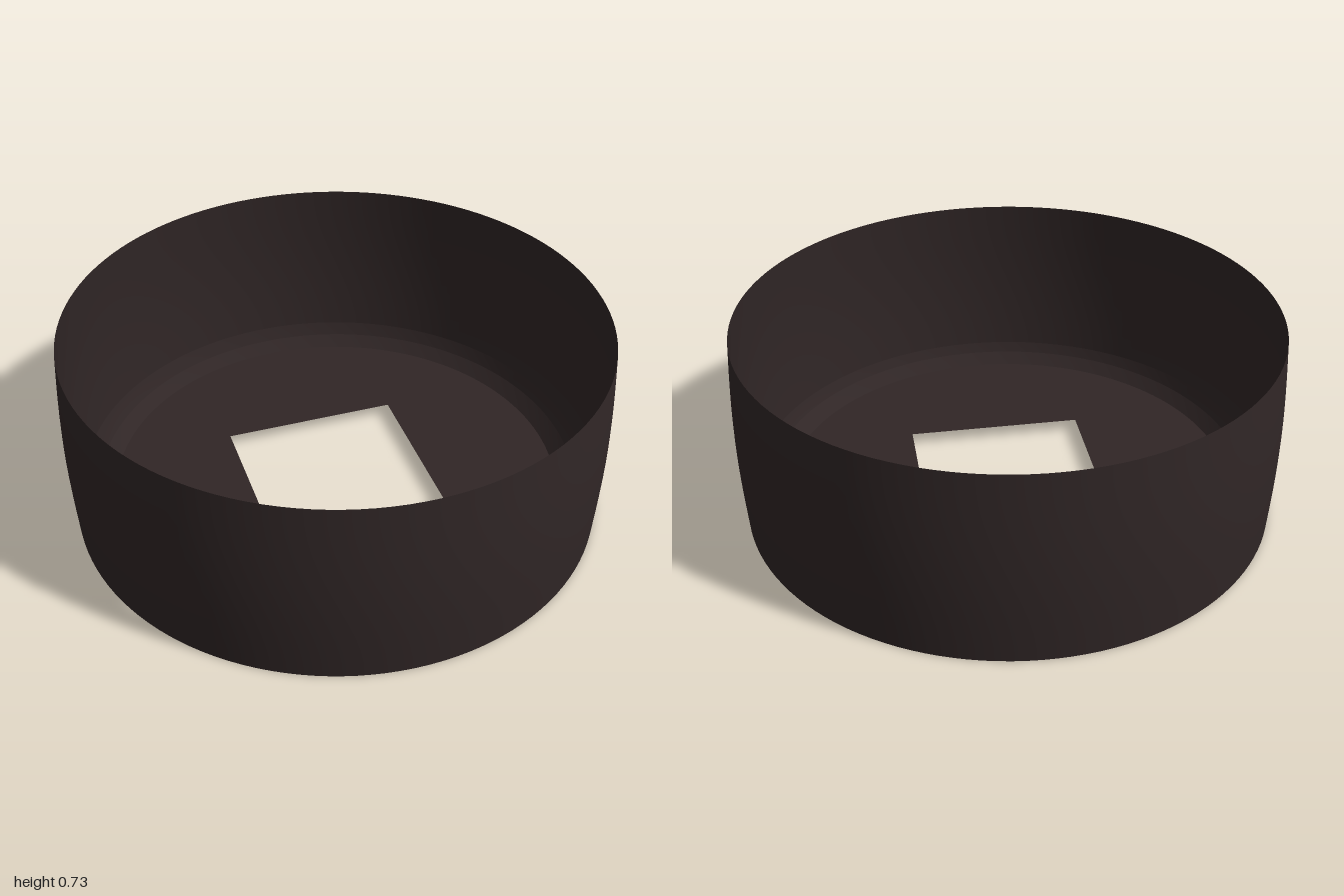
import * as THREE from 'three';

export function createModel() {
  const model = new THREE.Group();
  const darkBrown = new THREE.MeshStandardMaterial({ color: 0x302626, side: THREE.DoubleSide });
  darkBrown.name = 'darkBrown';

  // Adds a thin open shell turned around the y axis from [radius, height] pairs
  const addShell = (name, profile, x = 0, z = 0) => {
    const points = profile.map(([r, y]) => new THREE.Vector2(r, y));
    const mesh = new THREE.Mesh(new THREE.LatheGeometry(points, 128), darkBrown);
    mesh.name = name;
    mesh.position.set(x, 0, z);
    model.add(mesh);
  };

  // Outer wall, bulging slightly at mid height
  const height = 0.73;
  const wall = [];
  for (let i = 0; i <= 12; i++) {
    const t = i / 12;
    wall.push([0.985 + 0.015 * Math.sin(Math.PI * t), height * t]);
  }
  addShell('outerWall', wall);

  // Two low flared rings inside the base
  addShell('outerBaseRing', [[0.92, 0], [0.94, 0.05], [0.955, 0.1]], 0, -0.004);
  addShell('innerBaseRing', [[0.84, 0], [0.873, 0.038], [0.902, 0.077]], 0.003, 0.004);

  // Flat floor with a square opening
  const floorShape = new THREE.Shape().absarc(0, 0, 0.838, 0, Math.PI * 2, false);
  const h = 0.333;
  floorShape.holes.push(new THREE.Path([[-h, -h], [-h, h], [h, h], [h, -h]].map(([x, y]) => new THREE.Vector2(x, y))));
  const floor = new THREE.Mesh(new THREE.ShapeGeometry(floorShape, 64).rotateX(-Math.PI / 2), darkBrown);
  floor.name = 'floor';
  floor.position.y = 0.052;
  model.add(floor);

  return model;
}
